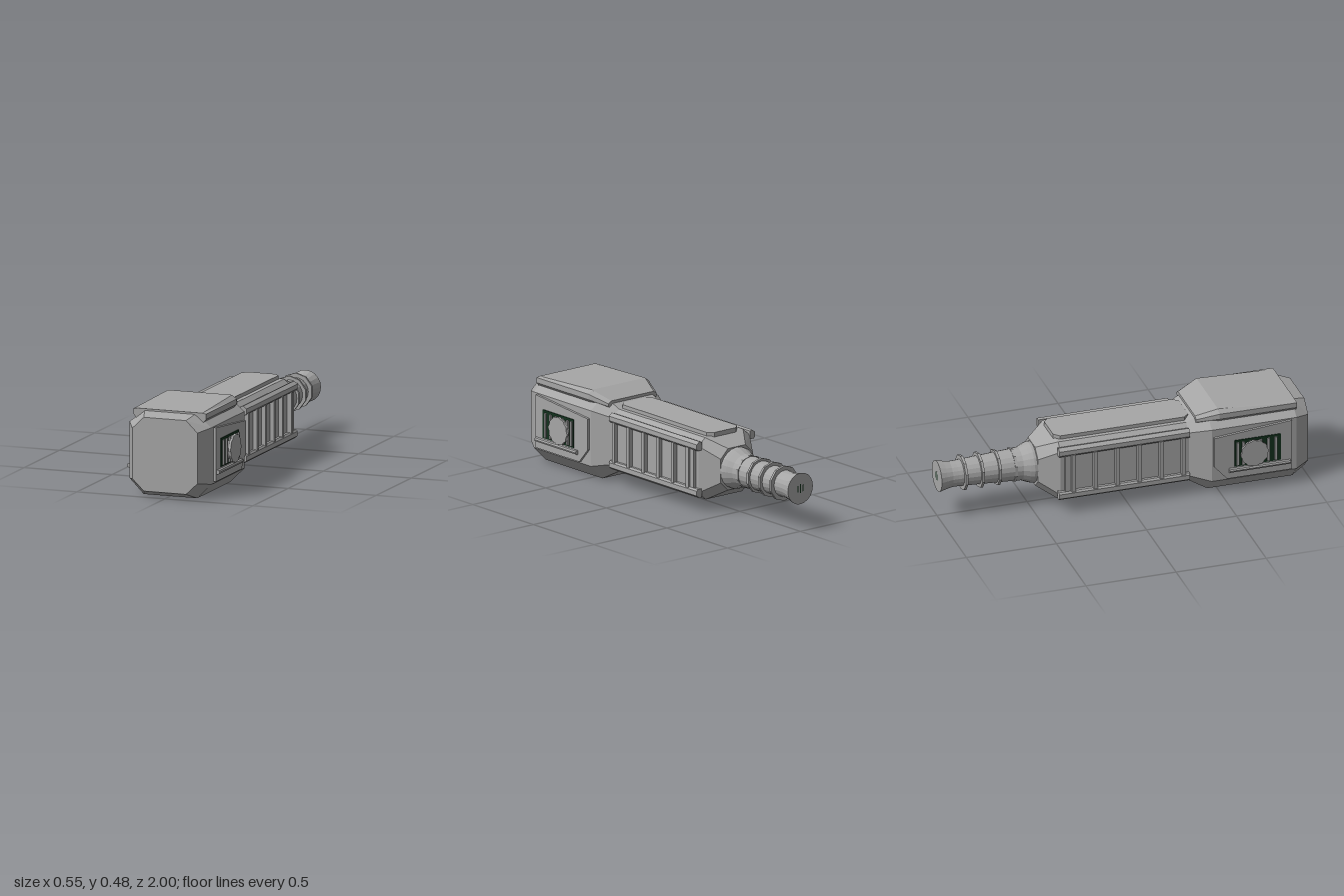
import * as THREE from 'three';

const CY = 0.235; // height of the long axis

export function createModel() {
  const model = new THREE.Group();
  const grey = new THREE.MeshStandardMaterial({ color: 0xa6a6a6, flatShading: true });
  grey.name = 'bodyGrey';
  const dark = new THREE.MeshStandardMaterial({ color: 0x12301c, flatShading: true });
  dark.name = 'grilleDarkGreen';

  const add = (name, geometry, x = 0, y = 0, z = 0, material = grey) => {
    const mesh = new THREE.Mesh(geometry, material);
    mesh.name = name;
    mesh.position.set(x, y, z);
    model.add(mesh);
    return mesh;
  };
  const box = (name, w, h, d, x, y, z, material) =>
    add(name, new THREE.BoxGeometry(w, h, d), x, y, z, material);
  const shape = (pts) => new THREE.Shape(pts.map(([a, b]) => new THREE.Vector2(a, b)));
  const extrude = (pts, depth) =>
    new THREE.ExtrudeGeometry(shape(pts), { depth, bevelEnabled: false });

  // Closed skin through cross-sections [z, points], ordered front to back
  const loft = (sections) => {
    const pos = [];
    const n = sections[0][1].length;
    const put = (s, i) => pos.push(...sections[s][1][i % n], sections[s][0]);
    const last = sections.length - 1;
    for (let s = 0; s < last; s++) {
      for (let i = 0; i < n; i++) {
        put(s, i); put(s + 1, i); put(s, i + 1);
        put(s, i + 1); put(s + 1, i); put(s + 1, i + 1);
      }
    }
    for (let i = 1; i < n - 1; i++) {
      put(0, 0); put(0, i); put(0, i + 1);
      put(last, 0); put(last, i + 1); put(last, i);
    }
    const g = new THREE.BufferGeometry();
    g.setAttribute('position', new THREE.Float32BufferAttribute(pos, 3));
    g.computeVertexNormals();
    return g;
  };

  // Octagon: half width, bottom, top, half widths of the flats, side edge heights
  const octagon = (w, y0, y1, f0, f1, s0, s1) => [
    [w, s0], [w, s1], [f1, y1], [-f1, y1], [-w, s1], [-w, s0], [-f0, y0], [f0, y0],
  ];

  // Head and long housing
  add('housing', loft([
    [1.0, octagon(0.185, 0.033, 0.43, 0.12, 0.12, 0.095, 0.367)],
    [0.92, octagon(0.232, 0, 0.455, 0.152, 0.145, 0.08, 0.385)],
    [0.45, octagon(0.232, 0, 0.455, 0.152, 0.145, 0.08, 0.385)],
    [0.34, octagon(0.178, 0.06, 0.4, 0.125, 0.13, 0.105, 0.36)],
    [-0.37, octagon(0.175, 0.06, 0.4, 0.125, 0.13, 0.105, 0.36)],
    [-0.475, octagon(0.11, 0.122, 0.35, 0.06, 0.06, 0.17, 0.3)],
  ]));

  // Folded cap over the head
  const capSection = (top, y1, wide, y2, y3, y4) => [
    [wide, y3], [wide, y2], [top, y1], [-top, y1], [-wide, y2],
    [-wide, y3], [-wide + 0.017, y4], [wide - 0.017, y4],
  ];
  add('headCap', loft([
    [0.93, capSection(0.185, 0.462, 0.207, 0.458, 0.43, 0.41)],
    [0.5, capSection(0.182, 0.48, 0.207, 0.46, 0.43, 0.41)],
    [0.385, capSection(0.145, 0.438, 0.165, 0.425, 0.41, 0.395)],
  ]));

  // Raised panel along the top of the housing
  const topPanel = extrude([
    [-0.075, -0.37], [0.075, -0.37], [0.105, -0.34], [0.105, 0.35],
    [0.075, 0.38], [-0.075, 0.38], [-0.105, 0.35], [-0.105, -0.34],
  ], 0.03);
  topPanel.rotateX(-Math.PI / 2);
  add('topPanel', topPanel, 0, 0.39, 0);

  for (const s of [1, -1]) {
    // Ribbed frame on the housing side
    const rail = (pts) => extrude(pts.map(([x, y]) => [x * s, y]), 0.725);
    add('upperRail', rail([[0.165, 0.34], [0.192, 0.34], [0.2, 0.35],
      [0.2, 0.375], [0.18, 0.39], [0.165, 0.385]]), 0, 0, -0.385);
    add('lowerRail', rail([[0.165, 0.13], [0.192, 0.13], [0.2, 0.12],
      [0.2, 0.095], [0.18, 0.08], [0.165, 0.085]]), 0, 0, -0.385);
    for (let i = 0; i < 6; i++) {
      box('rib', 0.03, 0.22, 0.022, s * 0.185, CY, 0.305 - i * 0.122);
    }
    box('rearRib', 0.024, 0.22, 0.03, s * 0.18, CY, -0.335);

    // Side plate on the head
    const plate = extrude([
      [0.89, 0.09], [0.53, 0.09], [0.46, 0.17], [0.46, 0.34], [0.89, 0.38],
    ], 0.03);
    plate.translate(0, 0, -0.015).rotateY(-Math.PI / 2);
    add('sidePlate', plate, s * 0.231, 0, 0);

    // Grille with upright bars
    box('grille', 0.008, 0.155, 0.255, s * 0.246, 0.235, 0.7, dark);
    for (const z of [0.8, 0.758, 0.716, 0.66, 0.618, 0.588]) {
      box('grilleBar', 0.014, 0.135, 0.014, s * 0.251, 0.232, z);
    }

    // Round knob: hub and notched disc
    const hub = new THREE.CylinderGeometry(0.068, 0.068, 0.02, 24).rotateZ(Math.PI / 2);
    add('knobHub', hub, s * 0.253, CY - 0.003, 0.675);
    const notched = [];
    for (let i = 0; i < 48; i++) {
      const r = i % 4 < 2 ? 0.077 : 0.073;
      const a = (i / 48) * Math.PI * 2;
      notched.push([r * Math.cos(a), r * Math.sin(a)]);
    }
    const disc = extrude(notched, 0.012);
    disc.translate(0, 0, -0.006).rotateY(-Math.PI / 2);
    add('knobDisc', disc, s * 0.268, CY - 0.003, 0.675);

    // Rod below the grille
    const rod = new THREE.CylinderGeometry(0.013, 0.013, 0.34, 8).rotateX(Math.PI / 2);
    add('sideRod', rod, s * 0.25, 0.139, 0.71);
  }

  // Tapered grip; the lathe runs from the housing to the flared end
  const profile = [
    [0, 0.46], [0.112, 0.46], [0.112, 0.49], [0.105, 0.51], [0.09, 0.545], [0.086, 0.6],
    [0.07, 0.9], [0.07, 0.93], [0.077, 0.965], [0.086, 1], [0, 1],
  ].map(([r, t]) => new THREE.Vector2(r, -t)).reverse();
  const grip = new THREE.LatheGeometry(profile, 20);
  grip.rotateX(Math.PI / 2);
  add('grip', grip, 0, CY, 0);

  // Ridges around the grip
  [[0.585, 0.092], [0.675, 0.097], [0.77, 0.097], [0.862, 0.096]].forEach(([t, r]) => {
    const ring = new THREE.CylinderGeometry(r, r, 0.014, 10).rotateX(Math.PI / 2);
    add('gripRing', ring, 0, CY, -t);
  });

  // Small slits in the grip end
  for (let i = -1; i <= 1; i++) {
    box('endSlit', 0.006, 0.05 - Math.abs(i) * 0.015, 0.003, i * 0.018, CY, -0.9995, dark);
  }

  return model;
}
